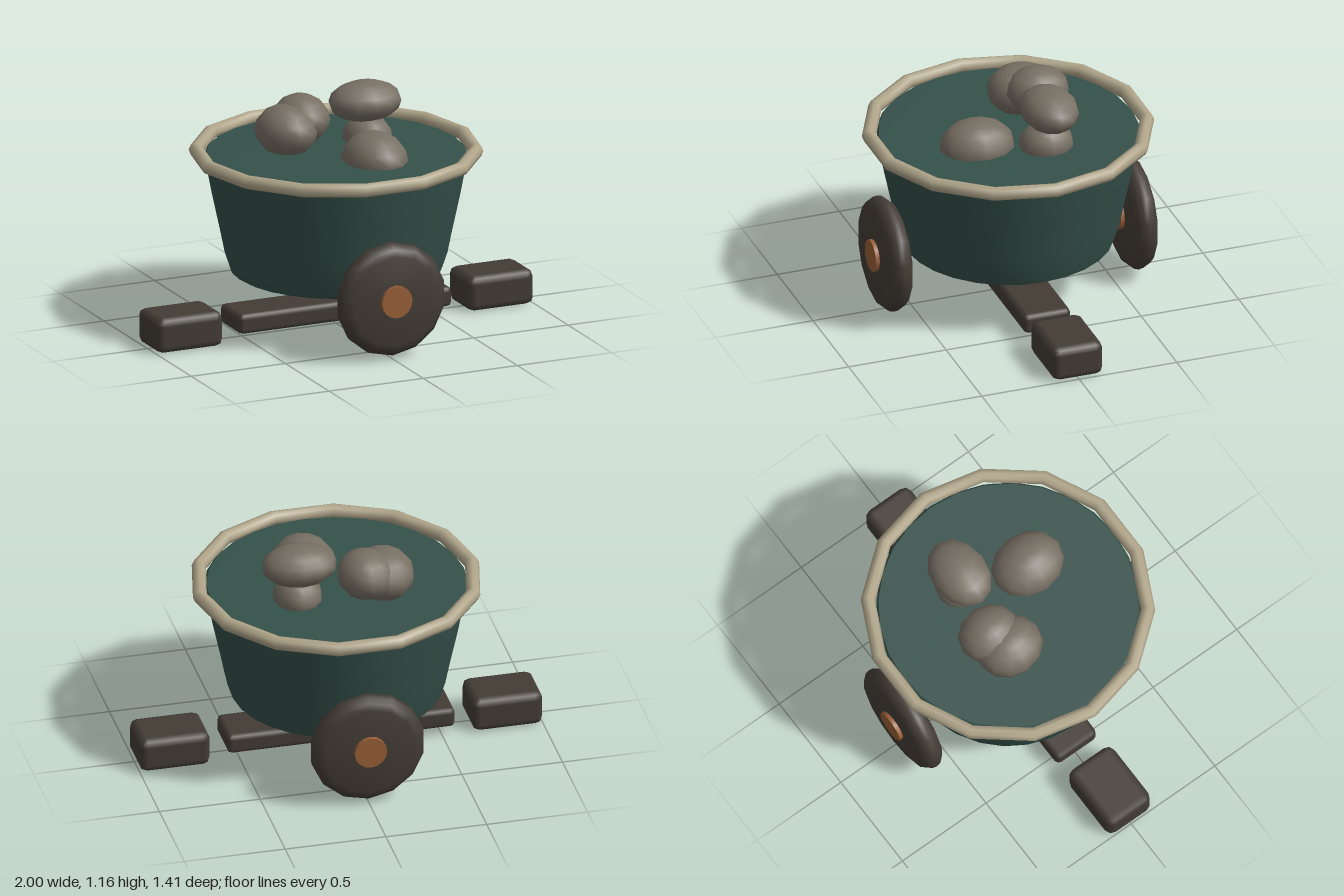
import * as THREE from 'three';
import { toCreasedNormals } from 'three/addons/utils/BufferGeometryUtils.js';
import { RoundedBoxGeometry } from 'three/addons/geometries/RoundedBoxGeometry.js';

export function createModel() {
  const model = new THREE.Group();
  model.name = 'stoneCart';

  const mat = (name, color) => {
    const m = new THREE.MeshStandardMaterial({ color });
    m.name = name;
    return m;
  };
  const teal = mat('teal paint', 0x35504a);
  const cream = mat('cream rim', 0xb0a58a);
  const dark = mat('dark timber', 0x433c35);
  const copper = mat('copper', 0x995f38);
  const stone = mat('stone', 0x776f63);

  const add = (name, geometry, material, x = 0, y = 0, z = 0) => {
    const mesh = new THREE.Mesh(geometry, material);
    mesh.name = name;
    mesh.position.set(x, y, z);
    model.add(mesh);
    return mesh;
  };
  const lathe = (points, sides, crease) => toCreasedNormals(
    new THREE.LatheGeometry(points.map(([r, y]) => new THREE.Vector2(r, y)), sides), crease);

  // Filled tub with a narrow chamfer at the foot
  add('tub', lathe([
    [0, 0.272], [0.49, 0.272], [0.512, 0.285], [0.537, 0.36], [0.555, 0.45],
    [0.6, 0.66], [0.63, 0.82], [0.635, 0.85], [0.625, 0.862], [0, 0.865],
  ], 28, 0.7), teal);

  // Faceted ring around the top
  add('rim', new THREE.TorusGeometry(0.675, 0.035, 8, 14).rotateX(Math.PI / 2), cream, 0, 0.87, 0);

  // Wheels with hubs, front and back
  const wheel = lathe([
    [0, -0.058], [0.225, -0.058], [0.258, -0.047], [0.28, -0.022],
    [0.284, 0], [0.28, 0.022], [0.258, 0.047], [0.225, 0.058], [0, 0.058],
  ], 14, 0.8).rotateX(Math.PI / 2);
  const hub = new THREE.CylinderGeometry(0.08, 0.08, 0.155, 16).rotateX(Math.PI / 2);
  for (const [side, s] of [['front', 1], ['back', -1]]) {
    add(side + 'Wheel', wheel, dark, 0, 0.298, s * 0.628);
    add(side + 'Hub', hub, copper, 0, 0.3, s * 0.628);
  }

  // Axle half sunk into the tub floor
  add('axle', new THREE.CylinderGeometry(0.036, 0.036, 1.04, 12).rotateX(Math.PI / 2), copper, 0, 0.3, 0);

  // Long beam below, with a chamfered block beyond each end
  add('beam', new RoundedBoxGeometry(1.13, 0.1, 0.24, 1, 0.025), dark, 0, 0.092, 0);
  const block = new RoundedBoxGeometry(0.35, 0.175, 0.26, 1, 0.038);
  add('leftBlock', block, dark, 0.825, 0.0875, 0);
  add('rightBlock', block, dark, -0.825, 0.0875, 0);

  // Heaped stones: centre, then radii
  const stones = [
    [-0.2, 0.96, -0.14, 0.15, 0.125, 0.17],
    [-0.1, 0.995, -0.187, 0.138, 0.118, 0.157],
    [0.215, 1.057, -0.132, 0.186, 0.1, 0.14],
    [0.112, 0.87, 0.2, 0.157, 0.132, 0.187],
    [0.22, 0.88, -0.115, 0.12, 0.11, 0.135],
  ];
  const ball = new THREE.SphereGeometry(1, 12, 8);
  stones.forEach(([x, y, z, rx, ry, rz], i) => {
    add('stone' + (i + 1), ball, stone, x, y, z).scale.set(rx, ry, rz);
  });

  return model;
}
